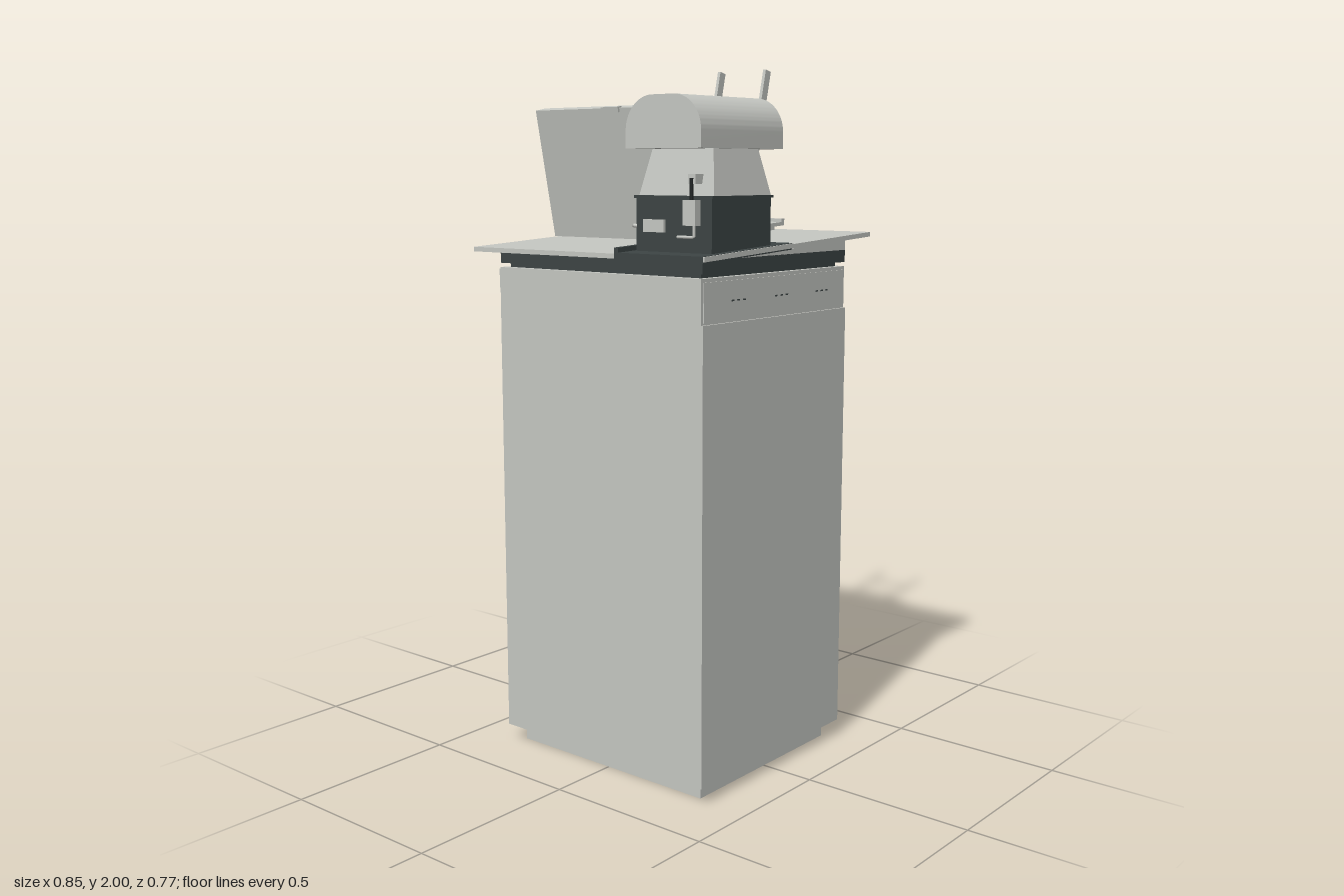
import * as THREE from 'three';
import { toCreasedNormals } from 'three/addons/utils/BufferGeometryUtils.js';

const mat = (name, color) => {
  const m = new THREE.MeshStandardMaterial({ color });
  m.name = name;
  return m;
};

export function createModel() {
  const model = new THREE.Group();
  model.name = 'hatchShelter';
  const light = mat('light grey metal', 0xc4c6c1);
  const dark = mat('dark slate', 0x3c4444);
  const black = mat('black', 0x1f2323);

  const add = (name, geo, material = light, parent = model) => {
    const m = new THREE.Mesh(geo, material);
    m.name = name;
    parent.add(m);
    return m;
  };
  // box from its limits
  const box = (name, x0, x1, y0, y1, z0, z1, material, parent) => {
    const m = add(name, new THREE.BoxGeometry(x1 - x0, y1 - y0, z1 - z0), material, parent);
    m.position.set((x0 + x1) / 2, (y0 + y1) / 2, (z0 + z1) / 2);
    return m;
  };
  // side profile of [z, y] points swept along x
  const sweep = (name, x0, x1, pts, material, parent) => {
    const s = new THREE.Shape(pts.map(([z, y]) => new THREE.Vector2(-z, y)));
    const g = new THREE.ExtrudeGeometry(s, { depth: x1 - x0, bevelEnabled: false });
    g.rotateY(Math.PI / 2).translate(x0, 0, 0);
    return add(name, g, material, parent);
  };
  // round bar through points
  const rod = (name, pts, r, material, parent) => {
    const path = new THREE.CurvePath();
    const v = pts.map(p => new THREE.Vector3(...p));
    for (let i = 1; i < v.length; i++) path.add(new THREE.LineCurve3(v[i - 1], v[i]));
    return add(name, new THREE.TubeGeometry(path, 12, r, 8), material, parent);
  };

  // main cabinet and plinth
  box('plinth', -0.335, 0.34, 0, 0.05, -0.295, 0.295);
  box('cabinet', -0.37, 0.368, 0.05, 1.43, -0.33, 0.335);
  box('sideCladding', 0.368, 0.375, 0.05, 1.31, -0.33, 0.335);
  box('sideUpperBand', 0.368, 0.371, 1.315, 1.42, -0.32, 0.325);
  for (let i = 0; i < 9; i++) {
    const z = -0.24 + i * 0.025 + Math.floor(i / 3) * 0.12;
    box('ventSlot', 0.37, 0.373, 1.365, 1.369, z, z + 0.01, dark);
  }
  box('cornerBracket', -0.378, -0.36, 1.37, 1.425, 0.29, 0.33);

  // door on the right side
  const dx = -0.373;
  box('doorLeaf', dx, -0.368, 0.06, 0.83, -0.19, 0.02);
  box('doorPost', -0.378, -0.368, 0.055, 0.86, 0.025, 0.06);
  for (const z of [-0.175, -0.015]) box('doorStile', -0.376, dx, 0.09, 0.8, z - 0.006, z + 0.006);
  for (const y of [0.09, 0.8]) box('doorRail', -0.376, dx, y - 0.006, y + 0.006, -0.181, -0.009);
  box('doorHandle', -0.388, -0.37, 0.435, 0.45, -0.01, 0.035);

  // dark collar under the roof
  box('collar', -0.37, 0.37, 1.442, 1.477, -0.33, 0.332, dark);
  box('collarNeck', -0.35, 0.35, 1.43, 1.442, -0.31, 0.312, dark);
  for (const x of [-0.34, 0.3]) for (const z of [-0.31, 0.26])
    box('foot', x, x + 0.045, 1.43, 1.444, z, z + 0.05);

  // sloped roof
  const roofY = z => 1.508 - 0.052 * z;
  const slab = (z0, z1, lift, t) => [
    [z0, roofY(z0) + lift], [z1, roofY(z1) + lift],
    [z1, roofY(z1) + lift - t], [z0, roofY(z0) + lift - t]];
  sweep('roofWedge', -0.37, 0.37, [[-0.33, 1.476], [0.332, 1.476], [0.332, roofY(0.332) - 0.006], [-0.33, roofY(-0.33) - 0.006]]);
  sweep('roofFront', -0.425, 0.115, slab(0, 0.385, 0, 0.013));
  sweep('roofBack', -0.425, 0.42, slab(-0.385, 0, 0, 0.013));
  sweep('ventTray', 0.115, 0.415, slab(0, 0.385, 0.003, 0.018), dark);
  sweep('trayEdge', 0.415, 0.42, slab(0, 0.385, 0.002, 0.013));
  sweep('trayLip', 0.115, 0.13, slab(0, 0.385, 0.016, 0.016), dark);

  // raised hatch platform
  sweep('hatchCurb', -0.4, 0.1, slab(-0.355, 0, 0.02, 0.026));
  sweep('hatchCover', -0.425, 0.115, [[0, 1.53], [-0.37, 1.55], [-0.37, 1.56], [-0.385, 1.56], [-0.385, 1.54], [0, 1.518]]);
  box('hatchLatch', -0.16, -0.095, 1.54, 1.553, -0.389, -0.38);

  // opened hatch lid, hinged at its foot and leaning forward
  const lid = new THREE.Group();
  lid.name = 'hatchLid';
  lid.position.set(-0.155, 1.515, 0.012);
  lid.rotation.x = 0.2;
  model.add(lid);
  const W = 0.27, H = 0.378;
  box('lidPanel', -W, W, 0, H, 0.02, 0.04, light, lid);
  for (const s of [-1, 1]) {
    box('lidSideRim', s * W - (s > 0 ? 0.012 : 0), s * W + (s < 0 ? 0.012 : 0), 0, H, 0, 0.02, light, lid);
    box('lidInnerSide', s * 0.235 - 0.008, s * 0.235 + 0.008, 0.03, H - 0.03, 0.002, 0.02, light, lid);
  }
  for (const y of [0, H - 0.012]) box('lidEndRim', -W, W, y, y + 0.012, 0, 0.02, light, lid);
  for (const y of [0.03, H - 0.045]) box('lidInnerRail', -0.235, 0.235, y, y + 0.015, 0.002, 0.02, light, lid);
  box('lidLatch', -0.005, 0.06, H - 0.012, H + 0.004, 0.03, 0.046, light, lid);
  for (const x of [-0.19, -0.11, 0.21]) box('lidCatch', x, x + 0.022, H - 0.075, H - 0.045, -0.012, 0.02, light, lid);
  box('hingeBlock', -0.41, -0.37, 1.525, 1.55, 0.0, 0.03);

  // gas struts
  for (const x of [-0.33, -0.315, 0.09]) {
    rod('strutBody', [[x, 1.535, -0.03], [x, 1.61, 0.0]], 0.005, black);
    rod('strutRod', [[x, 1.61, 0.0], [x, 1.68, 0.03]], 0.0025, black);
    box('strutMount', x - 0.01, x + 0.01, 1.67, 1.69, 0.02, 0.055);
  }

  // ladder
  const ladder = new THREE.Group();
  ladder.name = 'ladder';
  model.add(ladder);
  const ladderZ = y => -0.255 - (y - 1.545) * 0.233;
  for (const x of [-0.114, 0.057])
    sweep('ladderRail', x, x + 0.01, [[ladderZ(1.545) + 0.013, 1.545], [ladderZ(2) + 0.012, 2], [ladderZ(2) - 0.013, 1.994], [ladderZ(1.545) - 0.013, 1.545]], light, ladder);
  for (const y of [1.58, 1.72, 1.86]) {
    const z = ladderZ(y);
    box('rung', -0.105, 0.058, y - 0.007, y + 0.007, z - 0.007, z + 0.007, light, ladder);
    for (const x of [-0.104, 0.041])
      box('rungSocket', x, x + 0.016, y - 0.011, y + 0.011, z - 0.012, z + 0.012, light, ladder);
  }

  // ventilation unit
  const vent = new THREE.Group();
  vent.name = 'ventUnit';
  model.add(vent);
  box('ventBase', 0.142, 0.395, 1.485, 1.635, 0.072, 0.325, dark, vent);
  box('ventFlange', 0.137, 0.4, 1.633, 1.64, 0.067, 0.33, dark, vent);
  const neckGeo = new THREE.BoxGeometry(0.25, 0.13, 0.245);
  const p = neckGeo.attributes.position;
  for (let i = 0; i < p.count; i++)
    if (p.getY(i) > 0) p.setXYZ(i, p.getX(i) * 0.8, p.getY(i), p.getZ(i) * 0.76);
  neckGeo.computeVertexNormals();
  add('ventNeck', neckGeo, light, vent).position.set(0.269, 1.705, 0.193);

  // rounded hood
  const [hx0, hx1, hy0, hy1, r] = [0.145, 0.395, 1.76, 1.895, 0.09];
  const hs = new THREE.Shape();
  hs.moveTo(hx0, hy0);
  hs.lineTo(hx1, hy0);
  hs.lineTo(hx1, hy1 - r);
  hs.absarc(hx1 - r, hy1 - r, r, 0, Math.PI / 2, false);
  hs.absarc(hx0 + r, hy1 - r, r, Math.PI / 2, Math.PI, false);
  hs.closePath();
  const hood = new THREE.ExtrudeGeometry(hs, { depth: 0.35, bevelEnabled: false, curveSegments: 14 });
  add('ventHood', toCreasedNormals(hood.translate(0, 0, 0.02), 0.5), light, vent);

  // control boxes, conduit and grab handle
  box('ratingPlate', 0.172, 0.242, 1.545, 1.578, 0.325, 0.333, light, vent);
  box('switchBox', 0.318, 0.358, 1.565, 1.63, 0.325, 0.348, light, vent);
  box('lampBox', 0.325, 0.35, 1.67, 1.695, 0.3, 0.335, light, vent);
  rod('cable', [[0.338, 1.63, 0.337], [0.338, 1.685, 0.337]], 0.005, black, vent);
  rod('conduit', [[0.345, 1.565, 0.335], [0.345, 1.535, 0.335], [0.29, 1.535, 0.335]], 0.004, light, vent);
  rod('grabHandle', [[0.145, 1.56, 0.25], [0.133, 1.56, 0.255], [0.133, 1.56, 0.33], [0.145, 1.56, 0.325]], 0.005, light, vent);

  return model;
}
